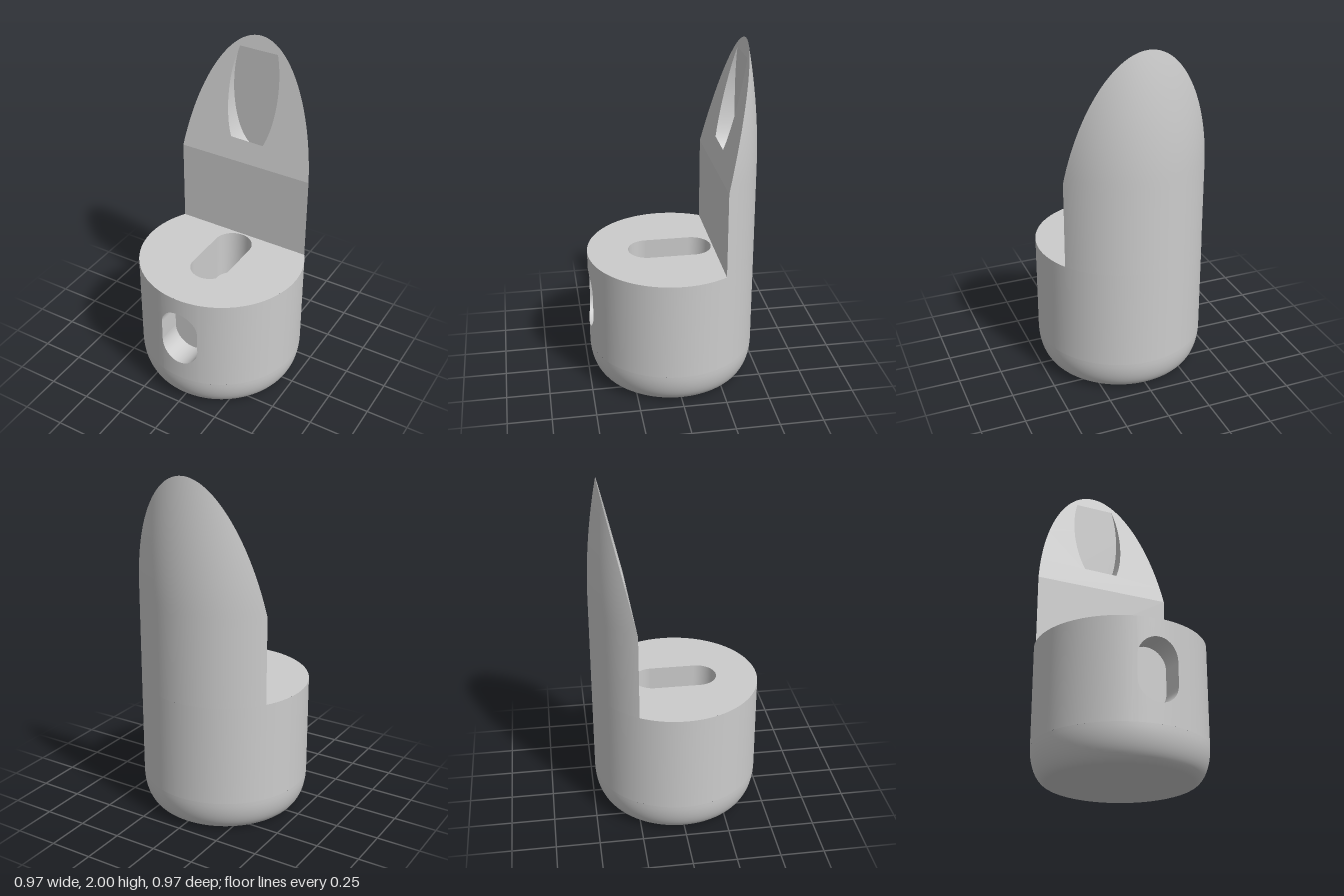
import * as THREE from 'three';

const R = 0.485, DECK = 0.77, PLATE_Z = -0.25, BEND = 1.27, TOP = 2, FILLET = 0.19;

// Grid surface from f(u, v); it faces du x dv
function sheet(nu, nv, f) {
  const pos = [], idx = [];
  for (let j = 0; j <= nv; j++)
    for (let i = 0; i <= nu; i++) pos.push(...f(i / nu, j / nv));
  for (let j = 0; j < nv; j++)
    for (let i = 0; i < nu; i++) {
      const a = j * (nu + 1) + i, d = a + nu + 1;
      idx.push(a, a + 1, d + 1, a, d + 1, d);
    }
  const g = new THREE.BufferGeometry();
  g.setAttribute('position', new THREE.Float32BufferAttribute(pos, 3));
  g.setIndex(idx);
  g.computeVertexNormals();
  return g;
}

// Counter-clockwise arc of an ellipse
function arc(cx, cy, rx, ry, from, to, n) {
  return Array.from({ length: n + 1 }, (_, i) => {
    const t = from + (to - from) * i / n;
    return new THREE.Vector2(cx + rx * Math.cos(t), cy + ry * Math.sin(t));
  });
}

// Closed slot outline with round ends
function slotOutline(w, lo, hi) {
  const pts = [...arc(0, lo + w, w, w, Math.PI, 2 * Math.PI, 24), ...arc(0, hi - w, w, w, 0, Math.PI, 24)];
  return [...pts, pts[0].clone()];
}

export function createModel() {
  const model = new THREE.Group();
  const grey = new THREE.MeshStandardMaterial({ color: 0xcccccc });
  grey.name = 'plain grey';

  const add = (name, geometry, parent = model) => {
    const mesh = new THREE.Mesh(geometry, grey);
    mesh.name = name;
    parent.add(mesh);
    return mesh;
  };

  // Walls and floor of a recess cut along -z from the surface rim(x, y)
  const addPocket = (name, pts, rim, floorZ) => {
    const pocket = new THREE.Group();
    pocket.name = name;
    const n = pts.length - 1;
    add(name + 'Wall', sheet(n, 1, (u, v) => {
      const p = pts[Math.round(u * n)];
      return [p.x, p.y, v < 0.5 ? rim(p.x, p.y) : floorZ];
    }), pocket);
    add(name + 'Floor', new THREE.ShapeGeometry(new THREE.Shape(pts)).translate(0, 0, floorZ), pocket);
    model.add(pocket);
    return pocket;
  };

  // Rounded foot
  const flat = 0.39;
  add('foot', new THREE.LatheGeometry([
    new THREE.Vector2(0, 0),
    ...arc(flat, FILLET, R - flat, FILLET, -Math.PI / 2, 0, 14),
  ], 96));

  // Cylindrical wall, leaving a strip open at the front for the slot
  const W = 0.118, LO = 0.305, HI = 0.667, gap = Math.asin(W / R);
  add('bodyWall', sheet(96, 1, (u, v) => {
    const t = gap + (2 * Math.PI - 2 * gap) * u;
    return [R * Math.sin(t), FILLET + (DECK - FILLET) * v, R * Math.cos(t)];
  }));

  // Wall strips below and above the front slot
  const front = (x) => Math.sqrt(R * R - x * x);
  const strip = (name, low, high) => add(name, sheet(24, 1, (u, v) => {
    const x = -W * Math.cos(Math.PI * u), s = W * Math.sin(Math.PI * u);
    return [x, v < 0.5 ? low(s) : high(s), front(x)];
  }));
  strip('wallBelowSlot', () => FILLET, (s) => LO + W - s);
  strip('wallAboveSlot', (s) => HI - W + s, () => DECK);
  addPocket('frontSlot', slotOutline(W, LO, HI), front, 0.33);

  // Deck with its long slot
  const a = Math.asin(-PLATE_Z / R);
  const deckSlot = slotOutline(0.114, -0.247, 0.24);
  const deckShape = new THREE.Shape(arc(0, 0, R, R, Math.PI - a, 2 * Math.PI + a, 72));
  deckShape.holes.push(new THREE.Path(deckSlot));
  add('deck', new THREE.ShapeGeometry(deckShape).rotateX(-Math.PI / 2).translate(0, DECK, 0));
  const deckPocket = addPocket('deckSlot', deckSlot, () => 0, -0.3);
  deckPocket.rotation.x = -Math.PI / 2;
  deckPocket.position.y = DECK;

  // Upright: rounded back that tapers to a pointed arch
  const slantZ = (y) => PLATE_Z - 0.165 * Math.max(0, (y - BEND) / (TOP - BEND));
  const radius = (y) => R - 0.07 * Math.max(0, (y - 1.3) / (TOP - 1.3)) ** 2;
  const halfAngle = (y) => Math.acos(Math.min(1, -slantZ(y) / radius(y)));
  const rise = (v) => (v < 0.2 ? DECK + (BEND - DECK) * v / 0.2 : TOP - (TOP - BEND) * ((1 - v) / 0.8) ** 2);
  add('uprightBack', sheet(48, 50, (u, v) => {
    const y = rise(v), r = radius(y), t = Math.PI + halfAngle(y) * (2 * u - 1);
    return [r * Math.sin(t), y, r * Math.cos(t)];
  }));

  // Upright front face
  const half = R * Math.cos(a);
  add('uprightFront', new THREE.PlaneGeometry(2 * half, BEND - DECK).translate(0, (BEND + DECK) / 2, PLATE_Z));

  // Slanted arch face with an oval recess
  const edge = [];
  for (let i = 0; i <= 40; i++) {
    const y = rise(0.2 + 0.02 * i);
    edge.push(new THREE.Vector2(radius(y) * Math.sin(halfAngle(y)), y));
  }
  const mirrored = edge.slice(0, -1).reverse().map((p) => new THREE.Vector2(-p.x, p.y));
  const ovalY = 1.68, ovalH = 0.375, cut = Math.asin((1.92 - ovalY) / ovalH);
  const oval = arc(0, ovalY, 0.155, ovalH, Math.PI - cut, 2 * Math.PI + cut, 56);
  const archShape = new THREE.Shape([...edge, ...mirrored]);
  archShape.holes.push(new THREE.Path(oval));
  const arch = new THREE.ShapeGeometry(archShape);
  const p = arch.attributes.position;
  for (let i = 0; i < p.count; i++) p.setZ(i, slantZ(p.getY(i)));
  arch.computeVertexNormals();
  add('slantedFace', arch);
  addPocket('ovalRecess', oval, (x, y) => slantZ(y), slantZ(1.92));

  return model;
}
